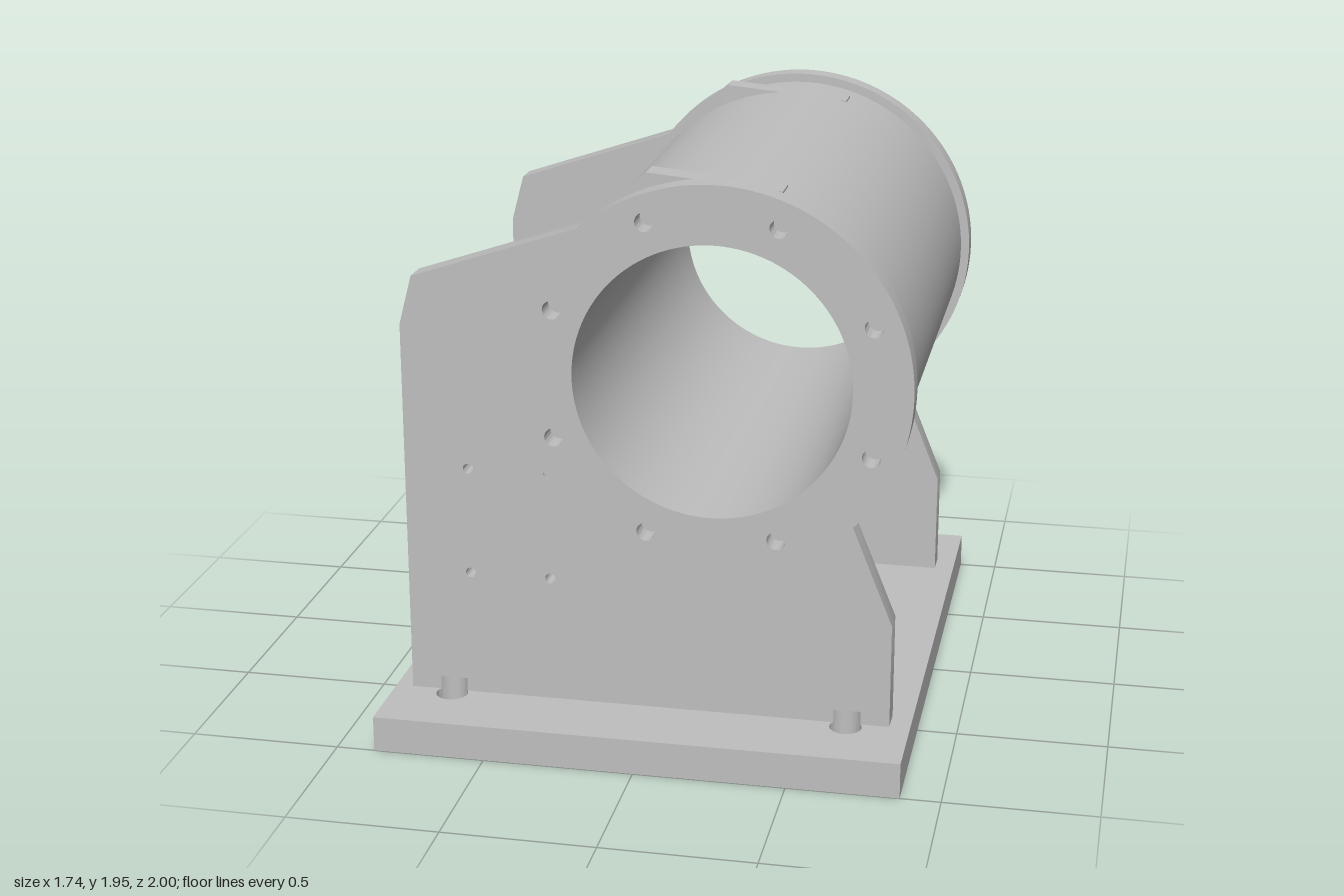
import * as THREE from 'three';
import { toCreasedNormals } from 'three/addons/utils/BufferGeometryUtils.js';

const CX = 0.24, CY = 1.316;          // tube axis
const BORE = 0.442, TUBE_R = 0.6, FLANGE_R = 0.63;
const BASE_TOP = 0.12, NOTCH_TOP = 0.165;
const BOLT_X = [-0.67, 0.66], BOLT_Z = 0.767, BOLT_R = 0.053;

const hole = (x, y, r) => new THREE.Path().absarc(x, y, r, 0, Math.PI * 2, false);

function disc(r, holes) {
  const s = new THREE.Shape().absarc(0, 0, r, 0, Math.PI * 2, false);
  s.holes.push(...holes);
  return s;
}

function extrude(shape, depth, segments = 24) {
  const g = new THREE.ExtrudeGeometry(shape, { depth, bevelEnabled: false, curveSegments: segments });
  return toCreasedNormals(g, 0.5);
}

// Shape drawn as (x, -z), raised along y
const raise = (shape, y, height) => extrude(shape, height).rotateX(-Math.PI / 2).translate(0, y, 0);

export function createModel() {
  const model = new THREE.Group();
  model.name = 'tubeMount';
  const grey = new THREE.MeshStandardMaterial({ color: 0xbfbfbf });
  grey.name = 'plain grey';

  const add = (name, geometry) => {
    const mesh = new THREE.Mesh(geometry, grey);
    mesh.name = name;
    model.add(mesh);
  };

  // Base plate with corner bolt holes and four small holes
  const base = new THREE.Shape([[-0.872, -1], [0.868, -1], [0.868, 1], [-0.872, 1]]
    .map(p => new THREE.Vector2(...p)));
  for (const s of [1, -1]) {
    for (const x of BOLT_X) base.holes.push(hole(x, s * BOLT_Z, BOLT_R));
    for (const x of [-0.625, 0.615]) base.holes.push(hole(x, s * 0.425, 0.021));
  }
  add('basePlate', raise(base, 0, BASE_TOP));

  // Hollow tube
  const tube = disc(TUBE_R, [hole(0, 0, BORE)]);
  add('tube', extrude(tube, 1.68, 64).translate(CX, CY, -0.84));

  // End flanges with a ring of eight holes
  const ring = [hole(0, 0, BORE)];
  for (let i = 0; i < 8; i++) {
    const a = (i + 0.5) * Math.PI / 4;
    ring.push(hole(0.545 * Math.cos(a), 0.545 * Math.sin(a), 0.03));
  }
  const flange = extrude(disc(FLANGE_R, ring), 0.08, 64);
  add('frontFlange', flange.clone().translate(CX, CY, 0.84));
  add('backFlange', flange.clone().translate(CX, CY, -0.92));

  // Upright support outline, cradling the tube on one side
  const upright = new THREE.Shape();
  upright.moveTo(-0.815, NOTCH_TOP);
  upright.lineTo(0.8, NOTCH_TOP);
  upright.lineTo(0.8, 0.475);
  upright.lineTo(0.632, 0.89);
  upright.absarc(CX, CY, 0.58, -0.825, 1.237 - Math.PI * 2, true);
  for (const [x, y] of [[0.43, 1.892], [0, 1.932], [-0.22, 1.743], [-0.772, 1.558], [-0.815, 1.395]])
    upright.lineTo(x, y);
  upright.closePath();
  for (const x of [-0.6, -0.33])
    for (const y of [0.55, 0.915]) upright.holes.push(hole(x, y, 0.017));
  const uprightGeometry = extrude(upright, 0.09, 48);

  for (const [side, s] of [['front', 1], ['back', -1]]) {
    add(side + 'Support', uprightGeometry.clone().translate(0, 0, s * 0.695 - 0.045));

    // Foot of the support, with round clearance notches above the bolt holes
    const foot = [[-0.815, 0.65], [0.8, 0.65], [0.8, 0.74]];
    for (const x of [...BOLT_X].reverse())
      for (let i = 0; i <= 12; i++) {
        const t = 1.036 * (1 - i / 6);
        foot.push([x + BOLT_R * Math.sin(t), BOLT_Z - BOLT_R * Math.cos(t)]);
      }
    foot.push([-0.815, 0.74]);
    const footShape = new THREE.Shape(foot.map(([x, z]) => new THREE.Vector2(x, -s * z)));
    add(side + 'SupportFoot', raise(footShape, BASE_TOP, NOTCH_TOP - BASE_TOP));
  }
  return model;
}
